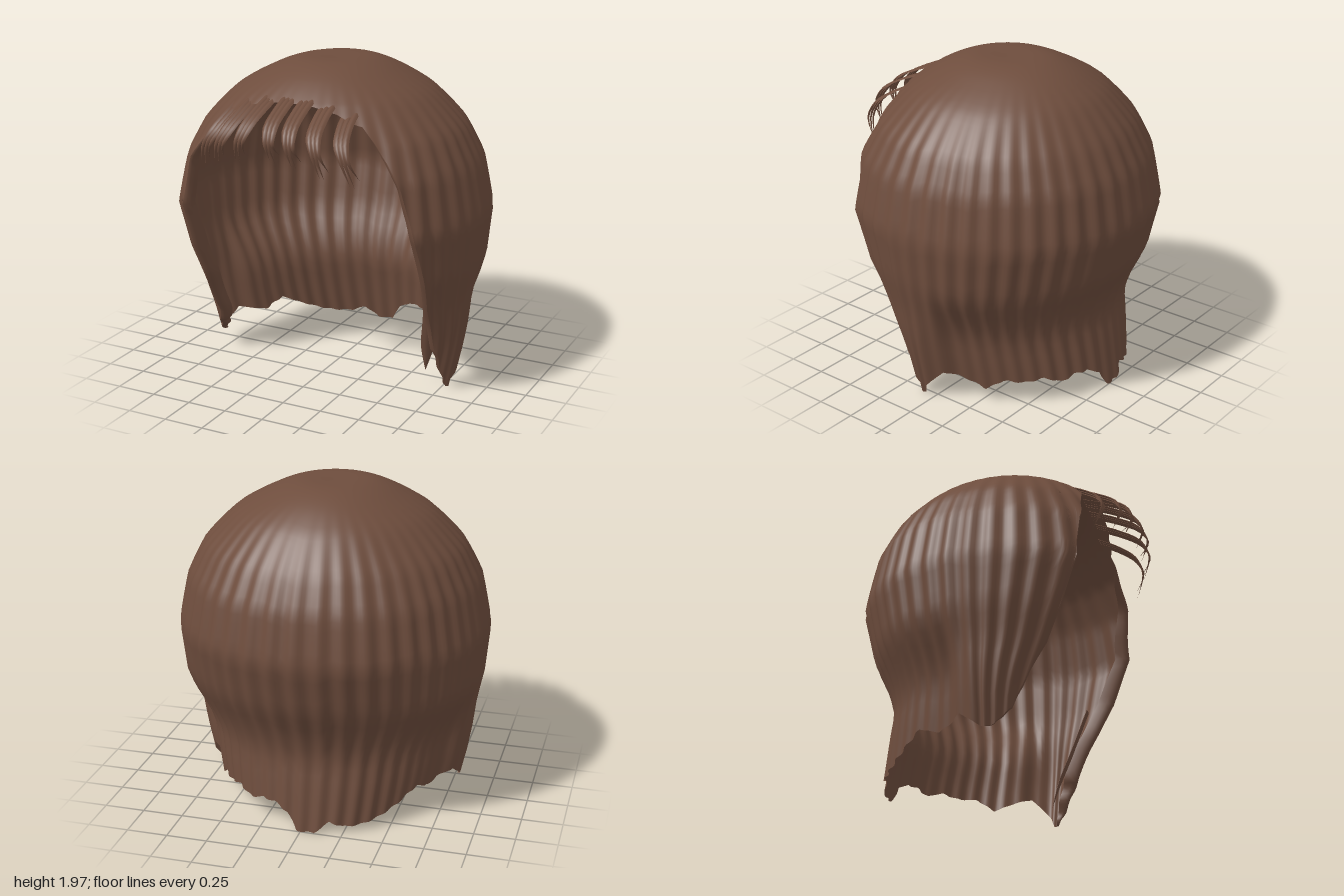
import * as THREE from 'three';

const RAD = Math.PI / 180;
const smooth = THREE.MathUtils.smoothstep;

// Half-sizes of the shell by height: [y, side, front, back], measured from z = 0.05
const LEVELS = [
  [2, 0, 0, 0], [1.98, 0.2, 0.2, 0.24], [1.9, 0.41, 0.41, 0.45], [1.8, 0.59, 0.56, 0.6],
  [1.6, 0.79, 0.75, 0.77], [1.4, 0.89, 0.88, 0.87], [1.1, 0.95, 0.95, 0.925],
  [0.8, 0.925, 0.79, 0.85], [0.6, 0.885, 0.65, 0.755], [0.45, 0.87, 0.53, 0.72],
  [0.3, 0.845, 0.43, 0.75], [0, 0.78, 0.35, 0.8],
];

// Lower edge: [angle from the front towards +x in degrees, y]
const HEM = [
  [0, 1.8], [14, 1.79], [26, 1.76], [35, 1.71], [38, 1.7], [42, 1.62], [46, 1.52], [50, 1.38],
  [53, 1.2], [54.5, 1.05], [56.5, 0.85], [59, 0.6], [63, 0.3], [74, 0.1], [81, 0.015], [86, 0.01],
  [93, 0.12], [99, 0.2], [107, 0.15], [115, 0.1], [124, 0.17], [133, 0.16], [143, 0.18],
  [151, 0.14], [159, 0.17], [166, 0.165], [173, 0.12], [178, 0.015], [187, 0.01], [194, 0.08],
  [201, 0.05], [209, 0.05], [217, 0.07], [227, 0.12], [239, 0.2], [250, 0.15], [262, 0.2],
  [270, 0.12], [276, 0.1], [284, 0.12], [296, 0.22], [301, 0.35], [305, 0.6], [306, 0.85],
  [306.5, 1.05], [307.5, 1.2], [310, 1.38], [314, 1.52], [318, 1.62], [322, 1.7], [325, 1.71],
  [334, 1.76], [346, 1.79], [360, 1.8],
];

// Point on the shell; the root of the depth keeps the crown round
function shellPoint(deg, y) {
  const q = Math.sqrt(Math.max(0, 2 - y));
  let i = 1;
  while (i < LEVELS.length - 1 && LEVELS[i][0] > y) i++;
  const [A, B] = [LEVELS[i - 1], LEVELS[i]];
  const qa = Math.sqrt(2 - A[0]), qb = Math.sqrt(2 - B[0]);
  const k = THREE.MathUtils.clamp((q - qa) / (qb - qa), 0, 1);
  const mix = (n) => A[n] + (B[n] - A[n]) * k;
  const a = deg * RAD, c = Math.cos(a);
  // Combed ripples, and a nape tucked in behind the side panels
  const ripple = 1 + 0.011 * Math.cos(a * 44 + Math.sin(a * 3)) * smooth(q, 0.25, 0.9);
  const fromFront = deg > 180 ? 360 - deg : deg;
  const tuck = 1 - 0.13 * smooth(fromFront, 92, 108) * (1 - smooth(y, 0.4, 0.8));
  const dimple = 0.025 * Math.exp(-((q / 0.12) ** 2));
  return new THREE.Vector3(
    mix(1) * Math.sin(a) * ripple * tuck,
    y - dimple,
    0.05 + mix(c > 0 ? 2 : 3) * c * ripple,
  );
}

// Surface through rows of points
function surface(rows, closed, name, material) {
  const n = rows[0].length, index = [];
  for (let j = 0; j < rows.length - 1; j++) {
    for (let i = 0; i < (closed ? n : n - 1); i++) {
      const a = j * n + i, b = j * n + ((i + 1) % n);
      index.push(a, a + n, b, b, a + n, b + n);
    }
  }
  const geometry = new THREE.BufferGeometry().setFromPoints(rows.flat());
  geometry.setIndex(index);
  geometry.computeVertexNormals();
  const mesh = new THREE.Mesh(geometry, material);
  mesh.name = name;
  return mesh;
}

// Tapering, slightly arched strand along a curve
function strand(points, width, name, material) {
  const curve = new THREE.CatmullRomCurve3(points);
  const rows = [], steps = 14;
  for (let j = 0; j <= steps; j++) {
    const t = j / steps, p = curve.getPoint(t), tangent = curve.getTangent(t);
    const side = new THREE.Vector3(1, 0, -p.x * 0.6).normalize();
    const up = new THREE.Vector3().crossVectors(side, tangent).normalize();
    const w = width * Math.min(1, (1 - t) * 2.2) / 2;
    rows.push([-1, -0.5, 0, 0.5, 1].map((s) => p.clone()
      .addScaledVector(side, s * w).addScaledVector(up, s * s * w * 0.5)));
  }
  return surface(rows, false, name, material);
}

export function createModel() {
  const model = new THREE.Group();
  model.name = 'wig';
  const hair = new THREE.MeshStandardMaterial({ color: 0x6e4d3d, side: THREE.DoubleSide });
  hair.name = 'brown hair';

  // Refine the lower edge
  const edge = [];
  for (let i = 0; i < HEM.length - 1; i++) {
    const [a0, y0] = HEM[i], [a1, y1] = HEM[i + 1];
    const steps = Math.ceil(Math.max((a1 - a0) / 1.3, Math.abs(y1 - y0) / 0.05));
    for (let s = 0; s < steps; s++) {
      const t = s / steps;
      edge.push([a0 + (a1 - a0) * t, y0 + (y1 - y0) * t]);
    }
  }

  // Main shell from crown to lower edge
  const rows = [], rowCount = 44;
  for (let j = 0; j <= rowCount; j++) {
    const u = j / rowCount;
    rows.push(edge.map(([a, y]) => shellPoint(a, 2 - u * u * (2 - y))));
  }
  model.add(surface(rows, true, 'hairShell', hair));

  // Turned-in border along both sides of the face opening
  for (const [from, to, name] of [[38, 84, 'leftRimFold'], [277, 322, 'rightRimFold']]) {
    const rim = edge.filter(([a]) => a >= from && a <= to);
    const outer = rim.map(([a, y]) => shellPoint(a, y));
    const fold = (amount, back) => outer.map((p, i) => {
      const f = Math.sin(Math.PI * i / (outer.length - 1));
      return new THREE.Vector3(p.x - Math.sign(p.x) * amount * f, p.y, p.z - back * f);
    });
    model.add(surface([outer, fold(0.03, 0.005), fold(0.045, 0.04), fold(0.04, 0.1)], false, name, hair));
  }

  // Inner lock hanging behind the left panel
  model.add(strand([
    new THREE.Vector3(0.76, 0.75, 0.32), new THREE.Vector3(0.71, 0.45, 0.22),
    new THREE.Vector3(0.66, 0.22, 0.14), new THREE.Vector3(0.635, 0.09, 0.1),
  ], 0.09, 'innerLock', hair));

  // Fringe locks: [root x, root y, tip x, tip y, furthest z]
  const locks = [
    [-0.4, 1.73, -0.545, 1.38, 0.73], [-0.28, 1.765, -0.4, 1.43, 0.81],
    [-0.155, 1.8, -0.235, 1.47, 0.85], [-0.035, 1.815, 0.005, 1.5, 0.875],
    [0.08, 1.81, 0.145, 1.48, 0.88], [0.205, 1.785, 0.31, 1.43, 0.86],
    [0.335, 1.745, 0.46, 1.39, 0.79],
  ];
  locks.forEach(([rx, ry, tx, ty, far], n) => {
    const lock = new THREE.Group();
    lock.name = 'fringeLock' + (n + 1);
    const root = shellPoint(Math.asin(rx / 0.62) / RAD, ry + 0.03);
    // Three wisps side by side that part at the tips
    for (const k of [-1, 0, 1]) {
      const at = (t, y, z) => new THREE.Vector3(
        rx + (tx - rx) * t + k * 0.029 * (1 - 0.25 * t), y, z);
      const tipY = ty + (k === 0 ? 0 : 0.03 + 0.015 * k);
      lock.add(strand([
        at(0, ry + 0.03, root.z - 0.03),
        at(0.15, ry - 0.03, root.z + (far - root.z) * 0.4),
        at(0.4, ry - 0.11, root.z + (far - root.z) * 0.85),
        at(0.7, ry - 0.2, far - 0.005),
        at(1, tipY, far - 0.06 - 0.015 * k),
      ], 0.042, 'wisp', hair));
    }
    model.add(lock);
  });

  return model;
}
